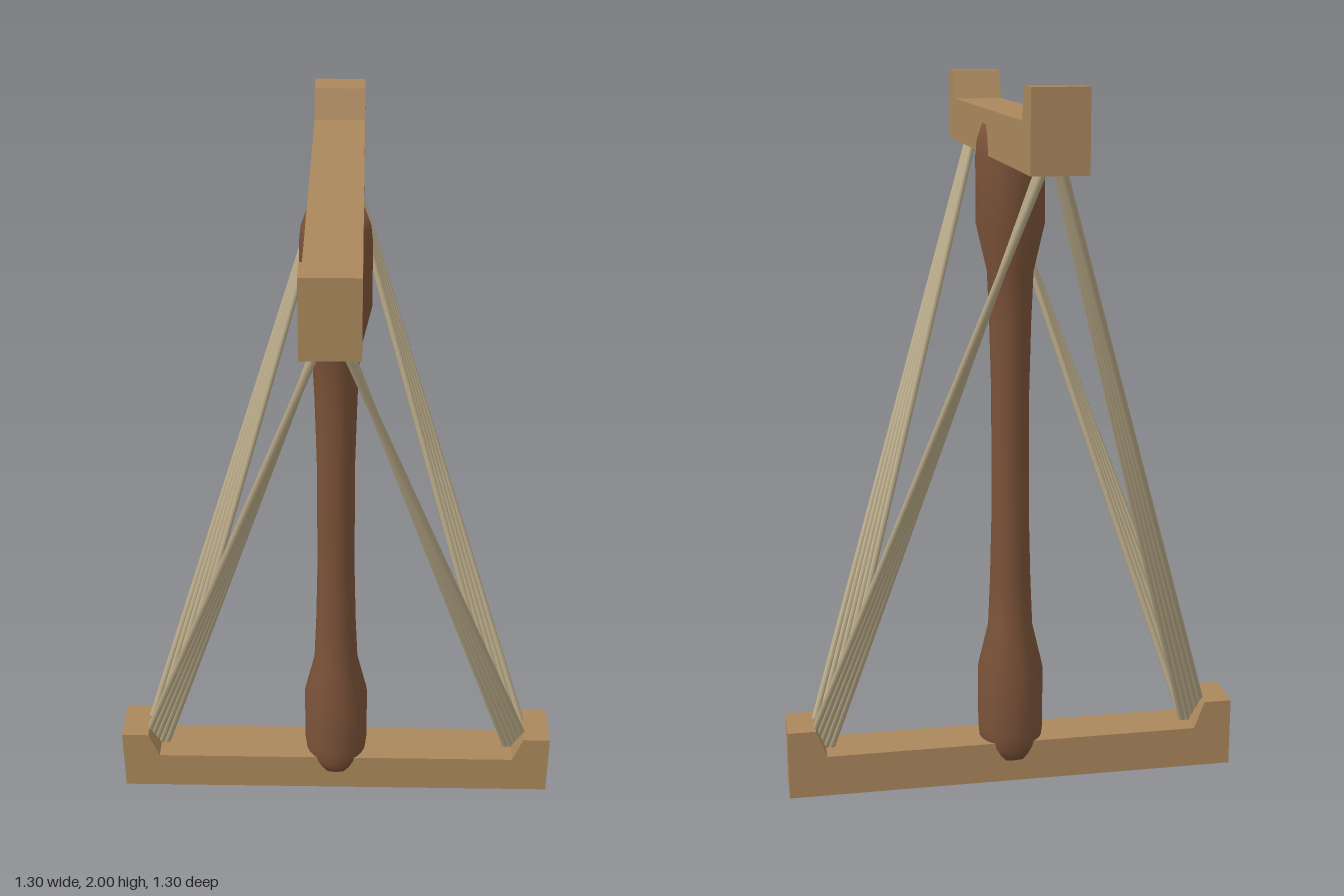
import * as THREE from 'three';

const wood = new THREE.MeshStandardMaterial({ color: 0xab885c, flatShading: true });
const darkWood = new THREE.MeshStandardMaterial({ color: 0x7a5238 });
const yarn = new THREE.MeshStandardMaterial({ color: 0xb5a685 });

const BAR_HALF = 0.65, BAR_WIDTH = 0.14, BAR_TOP = 0.12, HORN_TOP = 0.2;

// Crossbar with an upright horn at each end, lying along x
function crossbar(name) {
  const half = [[0.65, 0], [BAR_HALF, HORN_TOP], [0.57, HORN_TOP], [0.54, BAR_TOP]];
  const mirrored = half.map(([x, y]) => [-x, y]).reverse();
  const shape = new THREE.Shape([...half, ...mirrored].map(p => new THREE.Vector2(...p)));
  const geo = new THREE.ExtrudeGeometry(shape, { depth: BAR_WIDTH, bevelEnabled: false });
  geo.translate(0, 0, -BAR_WIDTH / 2);
  const bar = new THREE.Mesh(geo, wood);
  bar.name = name;
  return bar;
}

// Turned post, the profile mirrored about its middle
function centrePost() {
  const bottom = 0.065, top = 1.88;
  const lower = [[0.075, bottom], [0.089, 0.105], [0.094, 0.15], [0.094, 0.33], [0.064, 0.46], [0.058, 0.6], [0.053, 0.8]];
  const upper = lower.map(([r, y]) => [r, bottom + top - y]).reverse();
  const profile = [[0, bottom], ...lower, ...upper, [0, top]].map(p => new THREE.Vector2(...p));
  const post = new THREE.Mesh(new THREE.LatheGeometry(profile, 24), darkWood);
  post.name = 'centrePost';
  return post;
}

// One straight strand of yarn between two points
function strand(a, b) {
  const dir = b.clone().sub(a);
  const mesh = new THREE.Mesh(new THREE.CylinderGeometry(0.01, 0.01, dir.length(), 8), yarn);
  mesh.position.copy(a).add(b).multiplyScalar(0.5);
  mesh.quaternion.setFromUnitVectors(new THREE.Vector3(0, 1, 0), dir.normalize());
  mesh.name = 'yarnStrand';
  return mesh;
}

export function createModel() {
  const model = new THREE.Group();
  model.name = 'yarnWinder';

  const lowerBar = crossbar('lowerBar');
  const upperBar = crossbar('upperBar');
  upperBar.rotation.y = Math.PI / 2;
  upperBar.position.y = 1.8;
  model.add(lowerBar, upperBar, centrePost());

  // Four bands of parallel strands linking the ends of the two bars
  for (const sx of [-1, 1]) {
    for (const sz of [-1, 1]) {
      const band = new THREE.Group();
      band.name = 'yarnBand';
      for (let i = 0; i < 5; i++) {
        const reach = 0.525 + i * 0.0175;
        band.add(strand(new THREE.Vector3(sx * reach, 0.115, 0), new THREE.Vector3(0, 1.875, sz * reach)));
      }
      model.add(band);
    }
  }
  return model;
}
